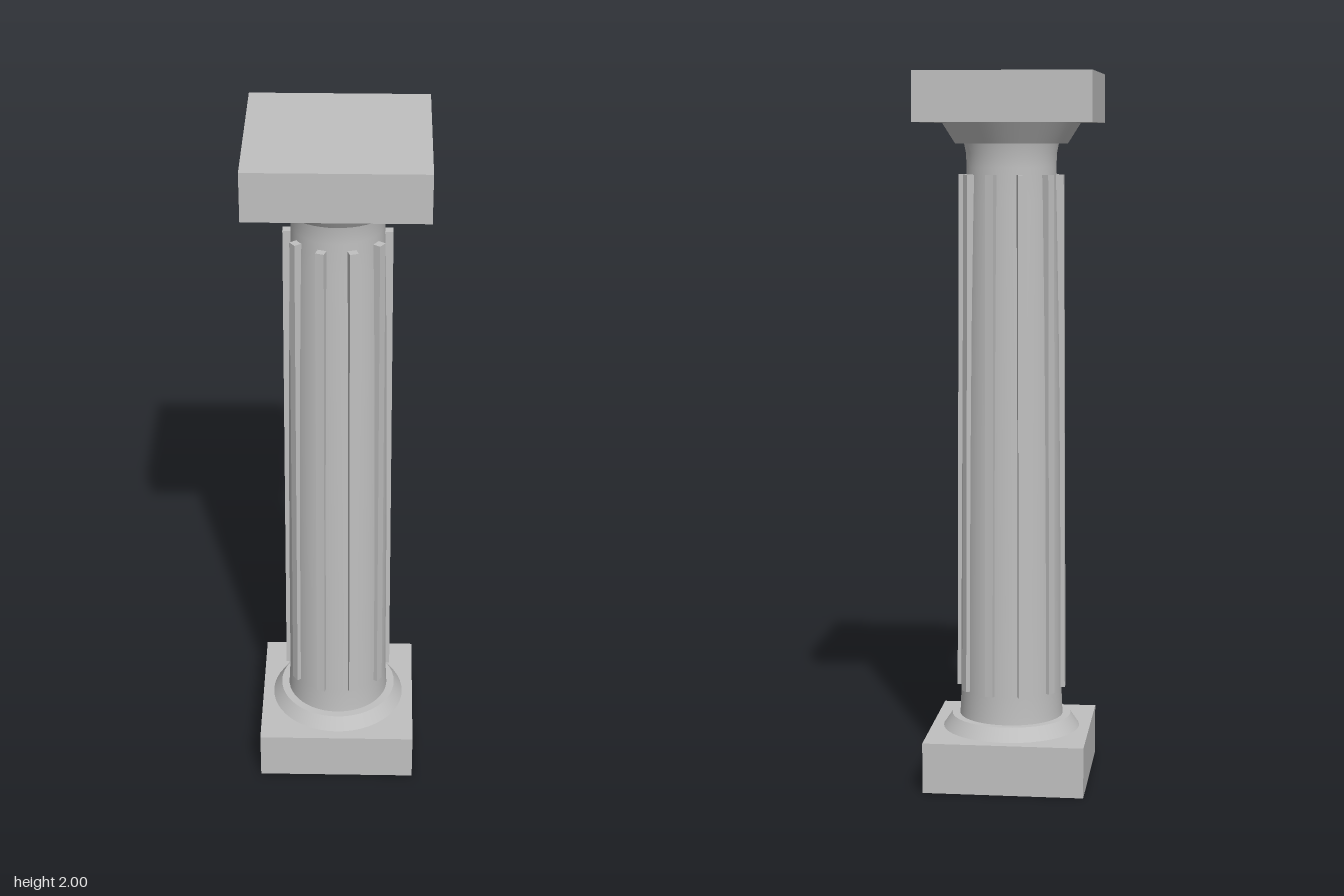
import * as THREE from 'three';

export function createModel() {
  const model = new THREE.Group();
  model.name = 'column';
  const stone = new THREE.MeshStandardMaterial({ color: 0xc0c0c0 });
  stone.name = 'grey stone';

  const add = (name, geometry, y = 0, parent = model) => {
    const mesh = new THREE.Mesh(geometry, stone);
    mesh.name = name;
    mesh.position.y = y;
    parent.add(mesh);
    return mesh;
  };

  // Square slabs at the foot and the head
  add('plinth', new THREE.BoxGeometry(0.452, 0.143, 0.452), 0.0715);
  add('abacus', new THREE.BoxGeometry(0.486, 0.137, 0.486), 1.9315);

  // Bevelled rings between the slabs and the shaft
  add('baseRing', new THREE.CylinderGeometry(0.17, 0.195, 0.037, 48), 0.1615);
  add('echinus', new THREE.CylinderGeometry(0.195, 0.157, 0.06, 48), 1.835);

  // Tapered shaft with a slight swelling and flared ends
  const profile = [
    [0.148, 0.175], [0.146, 0.2], [0.144, 0.26], [0.143, 0.5], [0.14, 0.9],
    [0.135, 1.3], [0.128, 1.65], [0.125, 1.74], [0.127, 1.78], [0.133, 1.81],
  ].map(([r, y]) => new THREE.Vector2(r, y));
  add('shaft', new THREE.LatheGeometry(profile, 48));

  // Ten raised ribs, leaning in to follow the taper
  const ribGeometry = new THREE.BoxGeometry(0.03, 1.46, 0.024);
  const ribs = new THREE.Group();
  ribs.name = 'ribs';
  model.add(ribs);
  for (let i = 0; i < 10; i++) {
    const pivot = new THREE.Group();
    pivot.name = 'ribPivot';
    pivot.rotation.y = (i * Math.PI) / 5;
    const rib = add('rib', ribGeometry, 0.99, pivot);
    rib.position.x = 0.136;
    rib.rotation.z = 0.0055;
    ribs.add(pivot);
  }

  return model;
}
